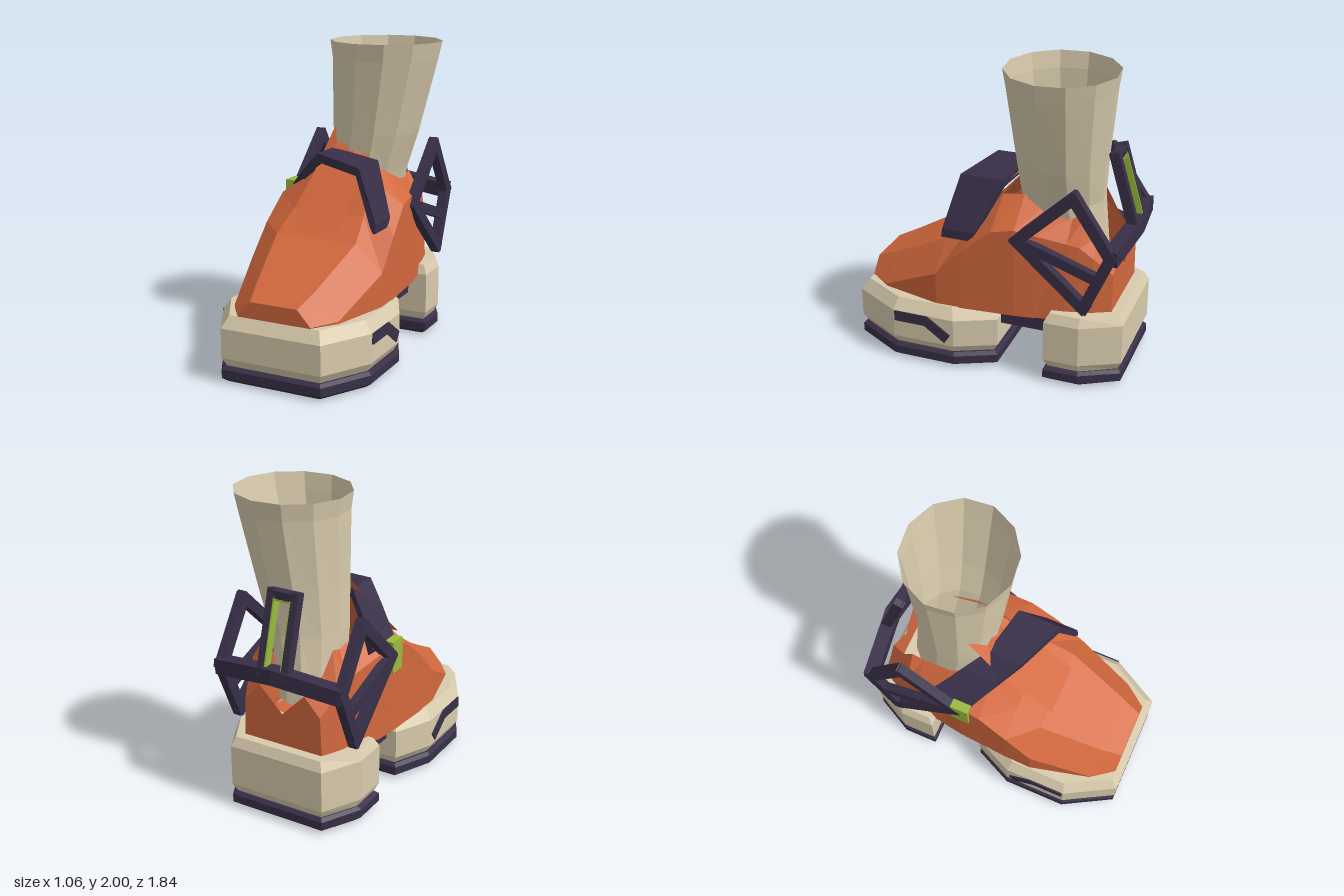
import * as THREE from 'three';

const flat = (name, color, double = false) => {
  const m = new THREE.MeshStandardMaterial({ color, flatShading: true, side: double ? THREE.DoubleSide : THREE.FrontSide });
  m.name = name;
  return m;
};

// Skin a list of rings (arrays of [x, y, z]); optionally closed around and capped at either end.
function loft(rings, { closed = true, capStart = false, capEnd = false } = {}) {
  const pos = [];
  const tri = (a, b, c) => pos.push(...a, ...b, ...c);
  const n = rings[0].length;
  for (let r = 0; r < rings.length - 1; r++) {
    const a = rings[r], b = rings[r + 1];
    for (let i = 0; i < (closed ? n : n - 1); i++) {
      const j = (i + 1) % n;
      tri(a[i], b[i], b[j]);
      tri(a[i], b[j], a[j]);
    }
  }
  const cap = (ring, flip) => {
    const c = [0, 1, 2].map(k => ring.reduce((s, p) => s + p[k], 0) / n);
    for (let i = 0; i < n; i++) {
      const p = ring[i], q = ring[(i + 1) % n];
      flip ? tri(c, q, p) : tri(c, p, q);
    }
  };
  if (capStart) cap(rings[0], false);
  if (capEnd) cap(rings[rings.length - 1], true);
  const g = new THREE.BufferGeometry();
  g.setAttribute('position', new THREE.Float32BufferAttribute(pos, 3));
  g.computeVertexNormals();
  return g;
}

// Stack a plan outline [x, z] in layers [y, inset].
function slab(outline, layers) {
  const zs = outline.map(p => p[1]), xs = outline.map(p => p[0]);
  const zc = (Math.max(...zs) + Math.min(...zs)) / 2, hz = Math.max(...zs) - zc, hx = Math.max(...xs);
  return loft(layers.map(([y, d]) => outline.map(([x, z]) => [x * (1 - d / hx), y, zc + (z - zc) * (1 - d / hz)])),
    { capStart: true, capEnd: true });
}

export function createModel() {
  const model = new THREE.Group();
  const cream = flat('cream', 0xd8caac, true);
  const orange = flat('orange', 0xd2683d, true);
  const dark = flat('dark plum', 0x382f48);
  const green = flat('lime green', 0x9aba3c);

  const add = (name, geo, mat) => {
    const m = new THREE.Mesh(geo, mat);
    m.name = name;
    model.add(m);
    return m;
  };
  // Square bar between two points
  const bar = (name, p, q, w, h, mat = dark, extra = 0) => {
    const a = new THREE.Vector3(...p), b = new THREE.Vector3(...q);
    const m = add(name, new THREE.BoxGeometry(w, h, a.distanceTo(b) + extra), mat);
    m.position.copy(a).add(b).multiplyScalar(0.5);
    m.lookAt(b);
    return m;
  };

  // Soles
  const front = [[.52, .18], [.52, .6], [.34, .92], [-.34, .92], [-.52, .6], [-.52, .18], [-.4, -.08], [.4, -.08]];
  const heel = [[.46, -.64], [.46, -.41], [-.46, -.41], [-.46, -.64], [-.33, -.89], [.33, -.89]];
  const tread = [[0, .04], [.03, 0], [.085, 0], [.105, .02]];
  add('frontMidsole', slab(front, [[.1, .035], [.16, 0], [.35, 0], [.425, .05]]), cream);
  add('frontTread', slab(front, tread), dark);
  add('heelMidsole', slab(heel, [[.1, .03], [.16, 0], [.43, 0], [.49, .03]]), cream);
  add('heelTread', slab(heel, tread), dark);
  const shank = add('shank', new THREE.BoxGeometry(.66, .12, .5), dark);
  shank.position.set(0, .35, -.23);

  // Angled stripes on the sides of the front sole
  const stripe = new THREE.Shape([[.59, .35], [.36, .35], [.2, .24], [.24, .18], [.38, .28], [.59, .28]]
    .map(p => new THREE.Vector2(...p)));
  for (const x of [.53, -.52]) {
    const g = new THREE.ExtrudeGeometry(stripe, { depth: .0095, bevelEnabled: false }).rotateY(-Math.PI / 2);
    add('soleStripe', g, dark).position.x = x;
  }

  // Upper, sections as z, bottom (x, y), crease (x, y), top (x, y)
  const toe = [
    [.87, .24, .42, .25, .43, .16, .53],
    [.72, .36, .42, .36, .44, .2, .6],
    [.32, .46, .42, .46, .64, .28, .81],
    [.14, .455, .42, .455, .83, .25, .94],
    [-.05, .44, .42, .44, .99, .2, 1.15],
  ];
  const collar = [
    toe[4],
    [-.2, .43, .42, .43, 1.02, .22, 1.18],
    [-.33, .41, .42, .4, .99, .25, 1.12],
    [-.52, .38, .47, .36, .95, .24, 1.08],
    [-.6, .36, .47, .345, .93, .24, 1.1],
    [-.68, .34, .47, .32, .86, .22, .97],
    [-.8, .28, .47, .27, .74, .16, .86],
  ];
  const half = ([z, a, b, c, d, e, f]) => [[a, b, z], [c, d, z], [e, f, z]];
  const mirror = pts => pts.map(([x, y, z]) => [-x, y, z]).reverse();
  add('toeUpper', loft(toe.map(s => [...half(s), ...mirror(half(s))]), { capStart: true }), orange);
  add('collarLeft', loft(collar.map(half), { closed: false }), orange);
  add('collarRight', loft(collar.map(s => mirror(half(s))), { closed: false }), orange);
  const backWall = new THREE.Shape([[.28, .47], [.27, .74], [.16, .86], [0, .7], [-.16, .86], [-.27, .74], [-.28, .47]]
    .map(p => new THREE.Vector2(...p)));
  add('backWall', new THREE.ShapeGeometry(backWall).rotateY(Math.PI), orange).position.z = -.8;
  add('insole', new THREE.BoxGeometry(.8, .02, .38), orange).position.set(0, .43, -.22);

  // Tongue with a ragged, curled top edge
  const tx = [-.17, -.08, .05, .165];
  const rows = [[.86, .35], [1, .19], [1.12, .06], [1.22, -.05]].map(([y, z]) => tx.map(x => [x, y, z]));
  rows.push([[-.14, 1.44, -.25], [-.08, 1.35, -.14], [.06, 1.32, -.14], [.16, 1.34, -.2]]);
  add('tongue', loft(rows, { closed: false }), orange);

  // Slanted instep strap: front edge, back edge, thickness offset
  const strap = [
    [[-.4, 1.04, -.12], [-.4, 1.06, -.4], [.03, -.04]],
    [[-.24, 1.19, 0], [-.24, 1.21, -.25], [.02, -.05]],
    [[-.1, 1.31, .1], [-.1, 1.31, -.13], [.01, -.06]],
    [[.25, 1.265, .22], [.25, 1.265, -.07], [-.02, -.05]],
    [[.4, .94, .29], [.4, .94, .07], [-.04, -.02]],
    [[.4, .88, .3], [.4, .88, .1], [-.015, 0]],
  ];
  add('instepStrap', loft(strap.map(([f, b, [dx, dy]]) =>
    [f, b, [b[0] + dx, b[1] + dy, b[2]], [f[0] + dx, f[1] + dy, f[2]]]), { capStart: true, capEnd: true }), dark);
  add('strapClip', new THREE.BoxGeometry(.06, .21, .12), green).position.set(-.425, .955, -.18);

  // Side frames
  for (const s of [1, -1]) {
    const at = (z, y) => [s * .425, y, z];
    const F = at(-.22, .96), T = at(-.58, 1.3), B = at(-.82, .94), L = at(-.66, .57), M = at(-.74, .78);
    for (const [p, q] of [[F, T], [T, B], [B, L], [L, F]]) bar('sideFrameBar', p, q, .06, .07, dark, .06);
    bar('sideFrameBrace', F, M, .055, .065);
    // Rear crossbar meeting at the centre
    bar('rearCrossbar', [s * .43, .94, -.82], [0, .99, -.87], .09, .1, dark, .02);
    // Heel loop post with its inner lining
    bar('heelLoopPost', [s * .085, 1, -.87], [s * .085, 1.46, -.735], .045, .065, dark, .05);
    bar('heelLoopLining', [s * .058, 1.03, -.86], [s * .058, 1.43, -.743], .009, .06, green);
  }
  bar('heelLoopTop', [-.1, 1.455, -.737], [.1, 1.455, -.737], .06, .05);
  bar('heelLoopTopLining', [-.06, 1.425, -.745], [.06, 1.425, -.745], .05, .009, green);

  // Leaning sock: y, centre x, centre z, radius x, radius z
  const sock = [
    [.72, .0, -.45, .19, .25],
    [1.15, .045, -.4, .245, .27],
    [1.4, .085, -.4, .285, .29],
    [1.89, .145, -.405, .35, .34],
    [2, .15, -.405, .37, .357],
  ].map(([y, cx, cz, rx, rz]) => Array.from({ length: 12 }, (_, i) => {
    const t = (i + .3) / 12 * Math.PI * 2;
    return [cx + rx * Math.cos(t), y, cz + rz * Math.sin(t)];
  }));
  add('sock', loft(sock), cream);

  return model;
}
